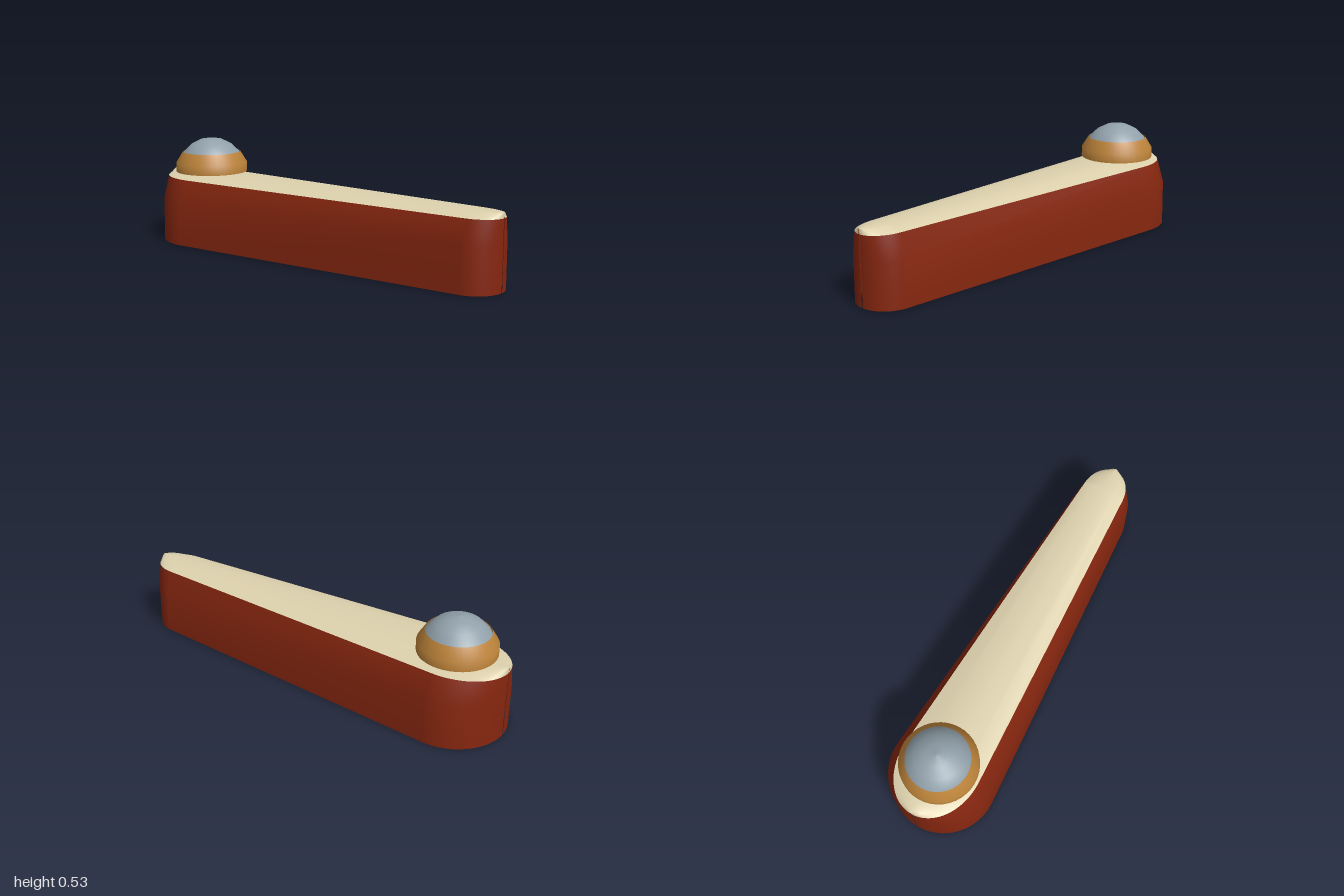
import * as THREE from 'three';

const mat = (name, color) => {
  const m = new THREE.MeshStandardMaterial({ color, side: THREE.DoubleSide });
  m.name = name;
  return m;
};

// Half outline seen from above: big round end, straight taper, small round end
function halfOutline() {
  const pts = [], steps = 20, tangent = THREE.MathUtils.degToRad(86);
  const arc = (cx, r, from, to) => {
    for (let i = 0; i <= steps; i++) {
      const a = from + (to - from) * i / steps;
      pts.push([cx + r * Math.cos(a), Math.max(r * Math.sin(a), 0.0025)]);
    }
  };
  arc(-0.745, 0.255, Math.PI, tangent);
  arc(0.86, 0.14, tangent, 0);
  return pts;
}

// Skin through copies of the outline, each at height y with z scaled by s
function loft(outline, layers) {
  const pos = [], idx = [], n = outline.length;
  for (const [y, s] of layers) for (const [x, z] of outline) pos.push(x, y, z * s);
  for (let j = 0; j < layers.length - 1; j++) {
    for (let i = 0; i < n - 1; i++) {
      const a = j * n + i, b = a + 1, c = b + n, d = a + n;
      idx.push(a, b, c, a, c, d);
    }
  }
  const g = new THREE.BufferGeometry();
  g.setAttribute('position', new THREE.Float32BufferAttribute(pos, 3));
  g.setIndex(idx);
  g.computeVertexNormals();
  return g;
}

const lathe = (pts) => new THREE.LatheGeometry(pts.map(([r, y]) => new THREE.Vector2(r, y)), 40);

export function createModel() {
  const group = new THREE.Group();
  const red = mat('dark red', 0x85260f);
  const cream = mat('cream', 0xddd1ad);
  const amber = mat('amber', 0xbc833a);
  const grey = mat('blue grey', 0x91a0aa);
  const add = (name, geometry, material, x = 0) => {
    const mesh = new THREE.Mesh(geometry, material);
    mesh.name = name;
    mesh.position.x = x;
    group.add(mesh);
  };

  // Side walls, open underneath
  const outline = halfOutline();
  const wall = [[0, 1], [0.22, 0.98], [0.33, 0.765]];
  add('frontWall', loft(outline, wall), red);
  add('backWall', loft([...outline].reverse(), wall.map(([y, s]) => [y, -s])), red);

  // Gently crowned top
  add('topPanel', loft(outline,
    [[0.33, 0.765], [0.352, 0.43], [0.355, 0], [0.352, -0.43], [0.33, -0.765]]), cream);

  // Collar and the dome inside it
  add('collar', lathe([[0.185, 0.358], [0.185, 0.405], [0.15, 0.461]]), amber, -0.745);
  const dome = [];
  for (let i = 0; i <= 5; i++) {
    const a = i * Math.PI / 10;
    dome.push([0.178 * Math.cos(a), 0.358 + 0.175 * Math.sin(a)]);
  }
  add('dome', lathe(dome), grey, -0.745);

  return group;
}
